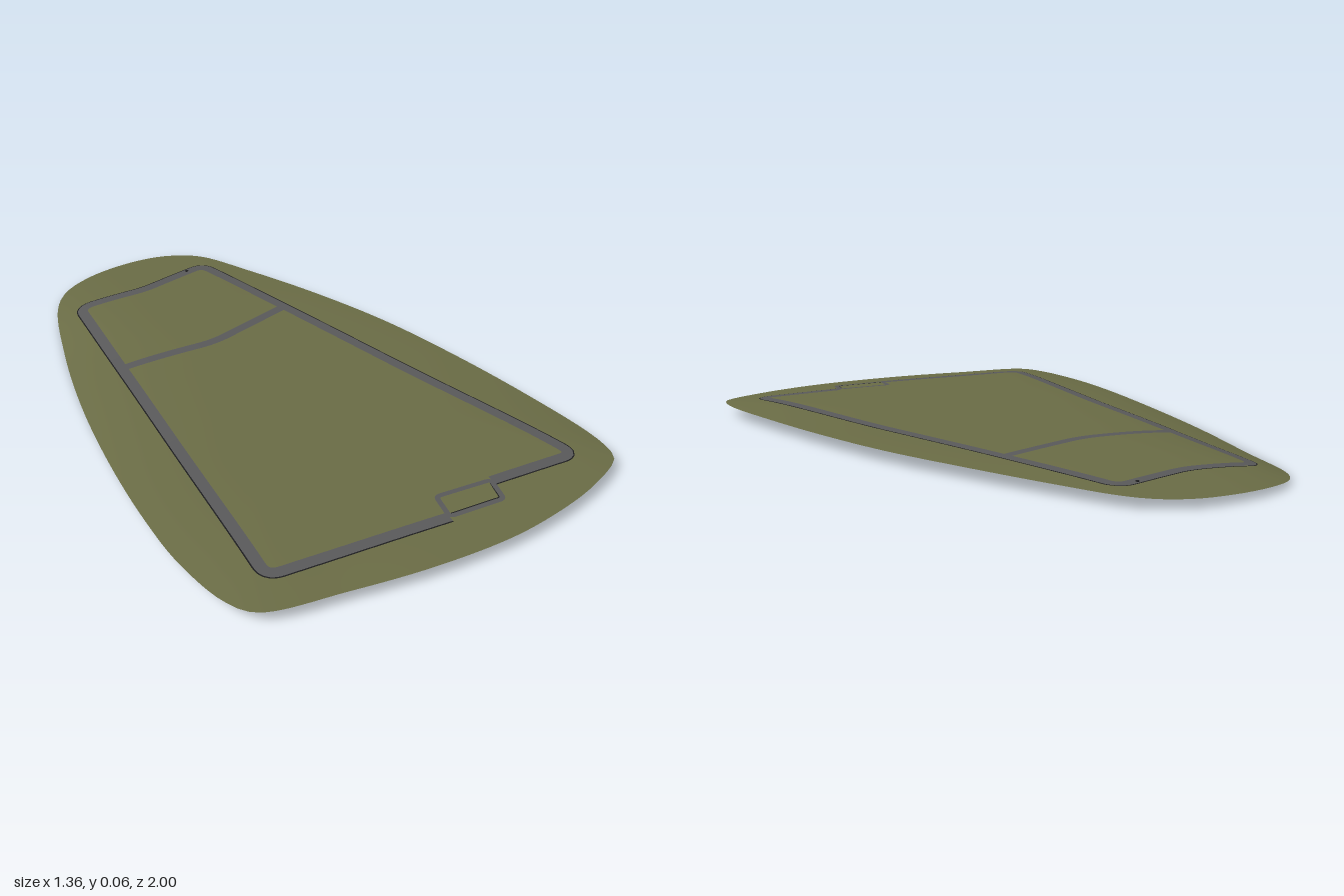
import * as THREE from 'three';

const { DoubleSide } = THREE;
const mat = (name, color) => {
  const m = new THREE.MeshStandardMaterial({ color, side: DoubleSide });
  m.name = name;
  return m;
};

// Rim of the shell as x, y, z; the left-rear edge droops slightly
const RIM = [
  [-0.08, 0.025, -1], [0.05, 0.028, -0.985], [0.14, 0.031, -0.945], [0.21, 0.035, -0.88],
  [0.3, 0.038, -0.7], [0.42, 0.042, -0.42], [0.525, 0.043, -0.12], [0.6, 0.043, 0.2],
  [0.65, 0.043, 0.5], [0.677, 0.042, 0.75], [0.67, 0.042, 0.84], [0.65, 0.042, 0.885],
  [0.5, 0.042, 0.95], [0.32, 0.043, 0.987], [0.15, 0.043, 1], [-0.1, 0.044, 0.983],
  [-0.35, 0.044, 0.94], [-0.6, 0.044, 0.88], [-0.65, 0.04, 0.8], [-0.68, 0.033, 0.6],
  [-0.676, 0.027, 0.4], [-0.645, 0.016, 0.1], [-0.585, 0.006, -0.25], [-0.5, 0, -0.58],
  [-0.4, 0.009, -0.86], [-0.33, 0.015, -0.94], [-0.22, 0.021, -0.985],
].map(p => new THREE.Vector3(...p));
const SEGS = 160, RINGS = 24;
const rim = new THREE.CatmullRomCurve3(RIM, true).getSpacedPoints(SEGS).slice(0, SEGS);

// Height between the rim (r = 1) and the gently raised middle (r = 0)
function crown(rimY, r, z) {
  const top = 0.047 + 0.018 * THREE.MathUtils.smoothstep(z, 0.1, 0.9);
  return THREE.MathUtils.lerp(top, rimY, r ** 4);
}

// Height of the shell at any x, z, from the rim point on the same ray
function heightAt(x, z) {
  for (let i = 0; i < SEGS; i++) {
    const a = rim[i], b = rim[(i + 1) % SEGS];
    const ca = a.x * z - a.z * x, cb = b.x * z - b.z * x;
    if (ca * cb > 0 || ca === cb) continue;
    const t = ca / (ca - cb);
    const e = a.clone().lerp(b, t);
    if (e.x * x + e.z * z <= 0) continue;
    return crown(e.y, Math.hypot(x, z) / Math.hypot(e.x, e.z), z);
  }
  return crown(0, 0, z);
}

function mesh(name, positions, index, material) {
  const g = new THREE.BufferGeometry();
  g.setAttribute('position', new THREE.Float32BufferAttribute(positions, 3));
  g.setIndex(index);
  g.computeVertexNormals();
  const m = new THREE.Mesh(g, material);
  m.name = name;
  return m;
}

// Curved shell from concentric copies of the rim
function shell(material) {
  const pos = [], idx = [];
  for (let j = 0; j <= RINGS; j++) {
    const r = j / RINGS;
    for (const p of rim) pos.push(p.x * r, crown(p.y, r, p.z * r), p.z * r);
  }
  for (let j = 0; j < RINGS; j++) {
    for (let i = 0; i < SEGS; i++) {
      const n = (i + 1) % SEGS;
      const a = j * SEGS + i, b = j * SEGS + n, c = a + SEGS, d = b + SEGS;
      idx.push(a, b, c, b, d, c);
    }
  }
  return mesh('shell', pos, idx, material);
}

// Path through corner points with rounded corners
function roundedPath(corners, radius, closed) {
  const v = corners.map(c => new THREE.Vector2(...c)), n = v.length;
  const toward = (a, b) => a.clone().add(b.clone().sub(a).setLength(radius));
  const path = new THREE.Path();
  const start = closed ? toward(v[0], v[1]) : v[0];
  path.moveTo(start.x, start.y);
  for (let i = 1; i < (closed ? n + 1 : n - 1); i++) {
    const c = v[i % n], from = toward(c, v[i - 1]), to = toward(c, v[(i + 1) % n]);
    path.lineTo(from.x, from.y);
    path.quadraticCurveTo(c.x, c.y, to.x, to.y);
  }
  if (!closed) path.lineTo(v[n - 1].x, v[n - 1].y);
  return path;
}

// Flat strip lying on the shell, between two sideways offsets from a path
function strip(name, path, inner, outer, lift, material, steps = 260) {
  const pos = [], idx = [];
  for (let i = 0; i <= steps; i++) {
    const p = path.getPointAt(i / steps), t = path.getTangentAt(i / steps);
    for (const o of [inner, outer]) {
      const x = p.x + t.y * o, z = p.y - t.x * o;
      pos.push(x, heightAt(x, z) + lift, z);
    }
    if (i < steps) {
      const a = i * 2;
      idx.push(a, a + 2, a + 1, a + 1, a + 2, a + 3);
    }
  }
  return mesh(name, pos, idx, material);
}

export function createModel() {
  const olive = mat('olive', 0x6b6d46);
  const grey = mat('grey', 0x5a5a5b);
  const black = mat('black', 0x1e1e20);
  const group = new THREE.Group();
  group.name = 'panel';
  group.add(shell(olive));

  // Main frame, open where the hatch sits
  const frame = roundedPath([
    [0.05, 0.85], [-0.515, 0.785], [-0.345, -0.787], [-0.1, -0.762],
    [0.168, -0.808], [0.552, 0.812], [0.255, 0.787],
  ], 0.045, false);
  group.add(strip('frame', frame, -0.018, 0.018, 0.003, grey, 420));
  group.add(strip('frameSeam', frame, 0.017, 0.022, 0.0025, black, 420));

  // Bent bar across the rear of the frame
  const bar = roundedPath([[-0.385, -0.343], [-0.06, -0.308], [0.262, -0.382]], 0.06, false);
  group.add(strip('crossBar', bar, -0.017, 0.017, 0.0025, grey, 80));

  // Small hatch interrupting the front of the frame
  const hatch = roundedPath([[0.05, 0.85], [0.068, 0.763], [0.252, 0.785], [0.233, 0.868]], 0.015, true);
  group.add(strip('hatchRim', hatch, -0.008, 0.008, 0.004, grey, 100));
  const hatchEdge = roundedPath([[0.255, 0.787], [0.233, 0.868], [0.05, 0.85]], 0.015, false);
  group.add(strip('hatchSeam', hatchEdge, -0.012, -0.007, 0.0035, black, 60));

  // Pin near the rear corner of the frame
  const pin = new THREE.Mesh(new THREE.CylinderGeometry(0.006, 0.006, 0.002, 12), black);
  pin.name = 'pin';
  pin.position.set(0.1, heightAt(0.1, -0.803) + 0.004, -0.803);
  group.add(pin);
  return group;
}
